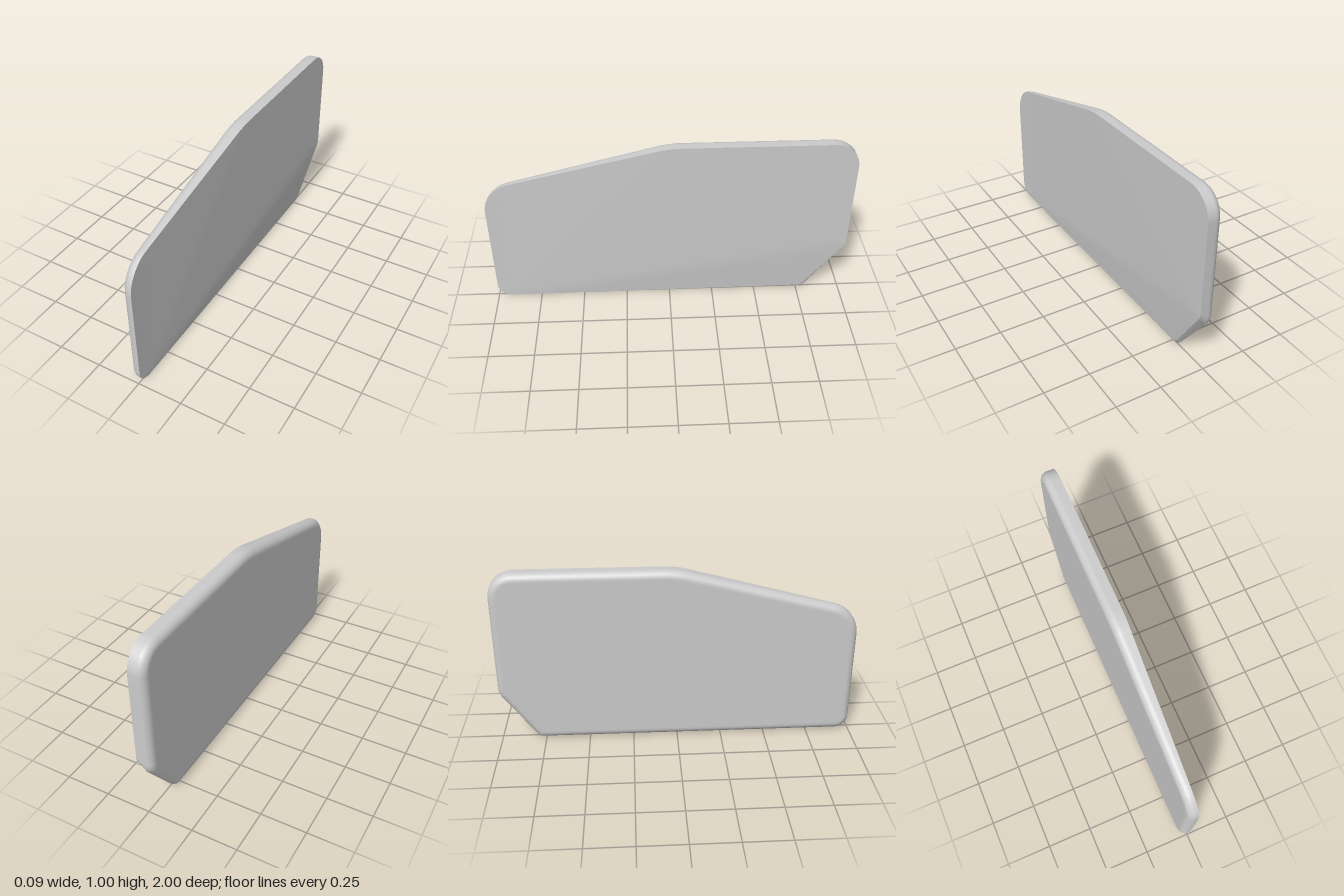
import * as THREE from 'three';

const HALF = 0.043; // half thickness
const ARC = 8, EDGE = 8; // steps per corner and per straight edge

// Corners as [z, y, rounding length], counter-clockwise seen from +x
const RIM = [[1, 0, 0.08], [-0.79, 0, 0.02], [-1, 0.29, 0.03], [-1, 1, 0.14],
  [0, 1, 0.06], [1, 0.745, 0.14]];
const FACE = [[1, 0, 0.08], [-0.78, 0.014, 0.02], [-1, 0.34, 0.02], [-1, 1, 0.14],
  [0, 1, 0.06], [1, 0.745, 0.14]];

// Rounded outline, moved inwards by inset; returns Vector2(-z, y) points
function outline(corners, inset) {
  const p = corners.map(([z, y]) => new THREE.Vector2(-z, y));
  const n = p.length;
  const dirs = p.map((a, i) => p[(i + 1) % n].clone().sub(a).normalize());
  const inner = p.map((a, i) => {
    const d0 = dirs[(i + n - 1) % n], d1 = dirs[i];
    const half = Math.tan(Math.acos(Math.min(1, d0.dot(d1))) / 2);
    // mitred corner: along the inward normal, then back along the edge
    const corner = a.clone().addScaledVector(new THREE.Vector2(-d1.y, d1.x), inset)
      .addScaledVector(d1, inset * half);
    const trim = Math.max(corners[i][2] - inset * half, 0.004);
    return { corner, trim, d0, d1 };
  });
  const starts = inner.map(c => c.corner.clone().addScaledVector(c.d0, -c.trim));
  const out = [];
  inner.forEach((c, i) => {
    const end = c.corner.clone().addScaledVector(c.d1, c.trim);
    const curve = new THREE.CubicBezierCurve(starts[i],
      starts[i].clone().addScaledVector(c.d0, c.trim * 0.56),
      end.clone().addScaledVector(c.d1, -c.trim * 0.56), end);
    out.push(...curve.getPoints(ARC));
    for (let k = 1; k < EDGE; k++) out.push(end.clone().lerp(starts[(i + 1) % n], k / EDGE));
  });
  return out;
}

// Facetted +x face: thick at the upper back, thin along the front and bottom
function faceX(z, y) {
  const s = Math.min(1, y / 0.34, (0.614 - 0.66 * z + y) / 1.614, (0.93 - 0.04 * y - z) / 0.89);
  return 0.012 + (HALF - 0.012) * Math.max(0, s);
}

// Skin a list of rings of Vector3
function loft(rings) {
  const n = rings[0].length, pos = [], index = [];
  rings.forEach(r => r.forEach(v => pos.push(v.x, v.y, v.z)));
  for (let r = 0; r < rings.length - 1; r++) {
    for (let i = 0; i < n; i++) {
      const j = (i + 1) % n, a = r * n, b = a + n;
      index.push(a + i, a + j, b + j, a + i, b + j, b + i);
    }
  }
  const g = new THREE.BufferGeometry();
  g.setAttribute('position', new THREE.Float32BufferAttribute(pos, 3));
  g.setIndex(index);
  g.computeVertexNormals();
  return g;
}

export function createModel() {
  const group = new THREE.Group();
  group.name = 'panel';
  const material = new THREE.MeshStandardMaterial({ color: 0xcccccc });
  const add = (name, geometry) => {
    const mesh = new THREE.Mesh(geometry, material);
    mesh.name = name;
    group.add(mesh);
  };
  const centre = new THREE.Vector2(0, 0.5);
  const flat = (pts, x) => pts.map(p => new THREE.Vector3(x, p.y, -p.x));
  const onFace = pts => pts.map(p => new THREE.Vector3(faceX(-p.x, p.y), p.y, -p.x));
  const shrink = (pts, k) => pts.map(p => centre.clone().lerp(p, k));

  // Back plate with rounded-over rim, up to the sharp edge of the face
  const radius = 0.042;
  const backEdge = outline(RIM, radius);
  const shell = [flat(shrink(backEdge, 0), -HALF), flat(shrink(backEdge, 0.98), -HALF)];
  for (let k = 0; k <= 8; k++) {
    const a = k / 8 * Math.PI / 2;
    shell.push(flat(outline(RIM, radius * (1 - Math.sin(a))), -HALF + radius * (1 - Math.cos(a))));
  }
  const faceEdge = outline(FACE, 0);
  shell.push(onFace(faceEdge));
  add('roundedBack', loft(shell));

  // Facetted face
  const rings = [];
  for (let k = 12; k >= 0; k--) rings.push(onFace(shrink(faceEdge, k / 12)));
  add('facettedFace', loft(rings));
  return group;
}
